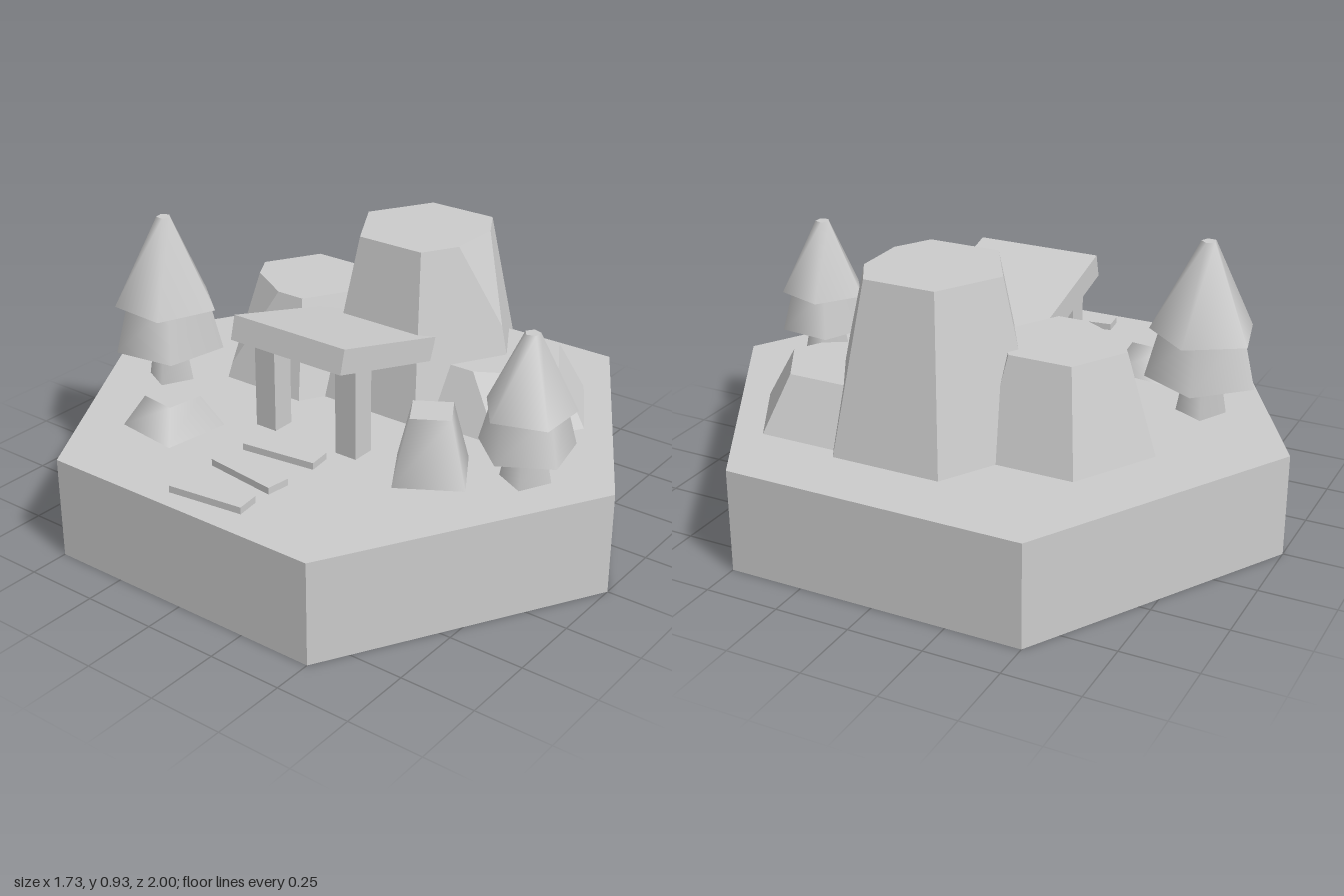
import * as THREE from 'three';
import { ConvexGeometry } from 'three/addons/geometries/ConvexGeometry.js';

const GROUND = 0.345;

export function createModel() {
  const model = new THREE.Group();
  const flat = new THREE.MeshStandardMaterial({ color: 0xcccccc, flatShading: true });
  const smooth = new THREE.MeshStandardMaterial({ color: 0xcccccc });

  const add = (name, geometry, material, x, y, z, parent = model) => {
    const mesh = new THREE.Mesh(geometry, material);
    mesh.name = name;
    mesh.position.set(x, y, z);
    parent.add(mesh);
    return mesh;
  };

  // Tapered prism standing on y0, turned by `turn` degrees
  const frustum = (name, rTop, rBottom, y0, y1, sides, turn, material, x, z, parent) => {
    const geometry = new THREE.CylinderGeometry(rTop, rBottom, y1 - y0, sides);
    const mesh = add(name, geometry, material, x, (y0 + y1) / 2, z, parent);
    mesh.rotation.y = THREE.MathUtils.degToRad(turn);
    return mesh;
  };

  // Hexagonal ground tile
  frustum('groundTile', 1, 1, 0, GROUND, 6, 0, flat, 0, 0);

  // Six-sided rock with one upper corner chipped off down to depth `chip`
  const rock = (name, x, z, rBottom, rTop, top, corner, chip) => {
    const h = top - GROUND;
    const ring = (i, r, y) => {
      const a = (i * Math.PI) / 3;
      return new THREE.Vector3(Math.sin(a) * r, y, Math.cos(a) * r);
    };
    const points = [];
    for (let i = 0; i < 6; i++) {
      points.push(ring(i, rBottom, 0));
      const upper = ring(i, rTop, h);
      if (i !== corner) {
        points.push(upper);
        continue;
      }
      const cut = 0.107 / rTop;
      points.push(upper.clone().lerp(ring(i - 1, rTop, h), cut));
      points.push(upper.clone().lerp(ring(i + 1, rTop, h), cut));
      if (chip < h) points.push(upper.clone().lerp(ring(i, rBottom, 0), chip / h));
    }
    add(name, new ConvexGeometry(points), flat, x, GROUND, z);
  };
  rock('largeRock', 0.32, 0.075, 0.37, 0.243, 0.903, 0, 0.28);
  rock('backRock', 0.19, -0.316, 0.314, 0.21, 0.675, 4, 0.28);
  rock('frontRock', 0.324, 0.39, 0.317, 0.21, 0.527, 5, 0.28);

  // Sloping shelter roof leaning into the large rock, on two posts
  const roof = add('roof', new THREE.BoxGeometry(0.5, 0.081, 0.435), flat, -0.143, 0.653, 0.043);
  roof.rotation.z = -THREE.MathUtils.degToRad(15);
  for (const z of [-0.12, 0.205]) {
    add('roofPost', new THREE.BoxGeometry(0.08, 0.33, 0.08), flat, -0.258, GROUND + 0.165, z);
  }

  // Trees: square trunk and two foliage tiers
  const tree = (name, x, z, turn, trunkTurn, lower, upper) => {
    const group = new THREE.Group();
    group.name = name;
    group.position.set(x, 0, z);
    model.add(group);
    frustum('trunk', 0.057, 0.082, GROUND, lower.y0 + 0.02, 4, trunkTurn, smooth, 0, 0, group);
    frustum('lowerFoliage', lower.rTop, lower.r, lower.y0, lower.y1, 5, turn + 12, smooth, 0, 0, group);
    frustum('upperFoliage', 0.025, upper.r, upper.y0, upper.y1, 5, turn, smooth, 0, 0, group);
  };
  tree('backTree', -0.195, -0.635, 14, 18,
    { r: 0.19, rTop: 0.14, y0: 0.47, y1: 0.66 }, { r: 0.18, y0: 0.622, y1: 0.932 });
  tree('frontTree', -0.08, 0.732, 36, 18,
    { r: 0.158, rTop: 0.115, y0: 0.452, y1: 0.61 }, { r: 0.15, y0: 0.58, y1: 0.835 });

  // Small four-sided boulders
  frustum('backBoulder', 0.09, 0.165, GROUND, 0.45, 4, 37, smooth, -0.463, -0.374);
  frustum('frontBoulder', 0.09, 0.159, GROUND, 0.558, 4, 76, smooth, -0.22, 0.477);

  // Path planks, alternately skewed
  [-0.747, -0.575, -0.405].forEach((x, i) => {
    const plank = add('pathPlank', new THREE.BoxGeometry(0.08, 0.024, 0.26), flat, x, GROUND + 0.011, 0.045);
    plank.rotation.y = i % 2 ? -0.13 : 0.12;
  });

  return model;
}
